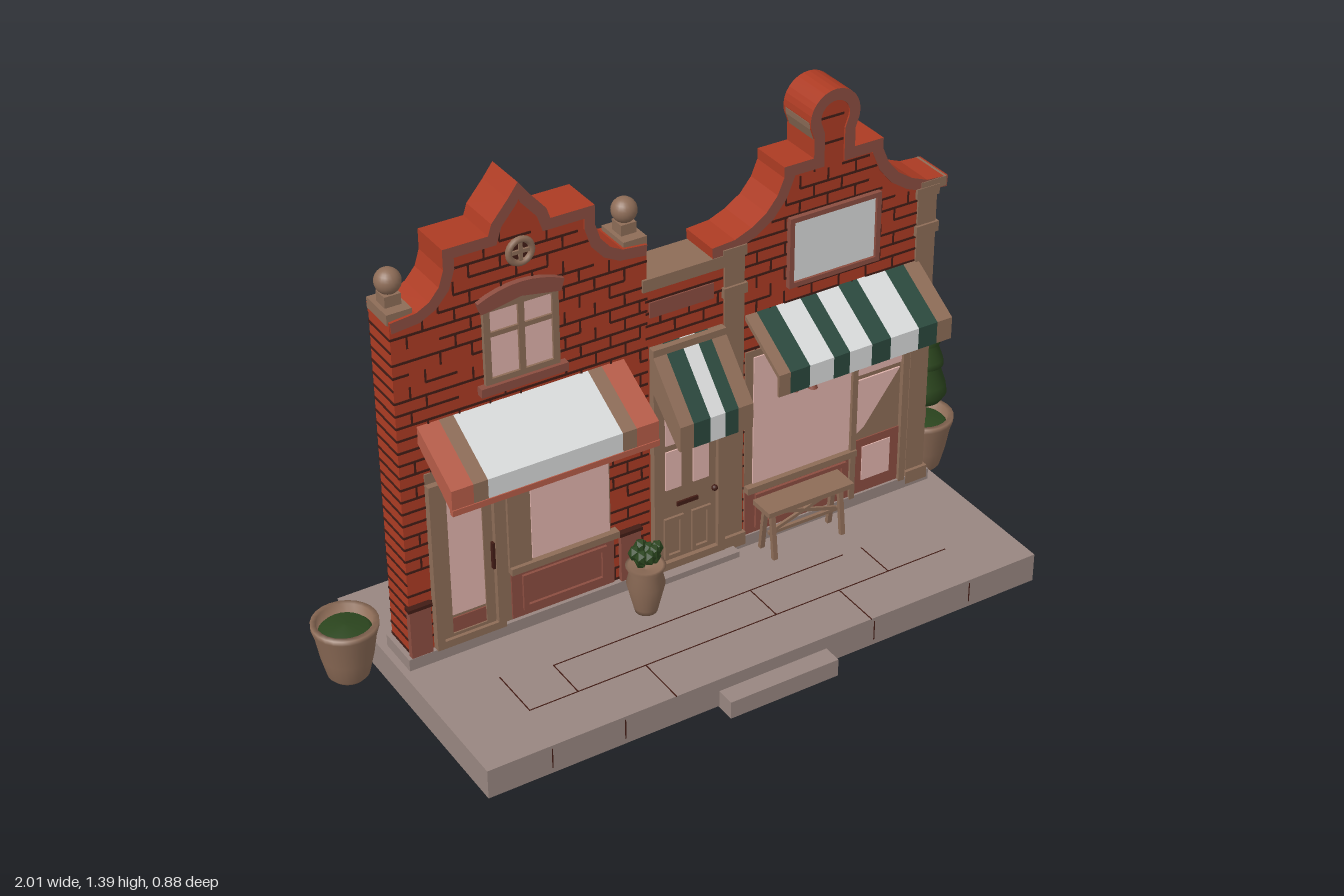
import * as THREE from 'three';
import { mergeGeometries } from 'three/addons/utils/BufferGeometryUtils.js';

const paint = (name, color) => Object.assign(new THREE.MeshStandardMaterial({ color }), { name });
const brick = paint('brick red', 0xac3b23);
const mortar = paint('dark joint', 0x421c15);
const stone = paint('brown stone', 0x8d6c57);
const paving = paint('grey paving', 0x988680);
const glass = paint('pink glass', 0xe0b3ac);
const redWood = paint('dull red wood', 0x8b4d40);
const salmon = paint('salmon cloth', 0xb65c48);
const white = paint('off white', 0xd8dada);
const green = paint('green cloth', 0x2a483d);
const leaf = paint('foliage', 0x2b451e);

const FRONT = -0.077, BACK = -0.187, GROUND = 0.09;

export function createModel() {
  const root = new THREE.Group();
  root.name = 'shopRow';
  let seed = 7;
  const rnd = () => (seed = (seed * 16807) % 2147483647) / 2147483647;

  const add = (name, geo, mat, x = 0, y = 0, z = 0) => {
    const m = new THREE.Mesh(geo, mat);
    m.name = name;
    m.position.set(x, y, z);
    root.add(m);
    return m;
  };
  const boxGeo = (x0, x1, y0, y1, z0, z1) => new THREE.BoxGeometry(x1 - x0, y1 - y0, z1 - z0)
    .translate((x0 + x1) / 2, (y0 + y1) / 2, (z0 + z1) / 2);
  const box = (name, mat, x0, x1, y0, y1, z0, z1) => add(name, boxGeo(x0, x1, y0, y1, z0, z1), mat);
  // front fitting that stands d proud of the wall
  const plate = (name, mat, x0, x1, y0, y1, d) => box(name, mat, x0, x1, y0, y1, FRONT - 0.004, FRONT + d);
  const frame = (name, mat, x0, x1, y0, y1, w, d) => {
    plate(name, mat, x0, x0 + w, y0, y1, d);
    plate(name, mat, x1 - w, x1, y0, y1, d);
    plate(name, mat, x0 + w, x1 - w, y0, y0 + w, d);
    plate(name, mat, x0 + w, x1 - w, y1 - w, y1, d);
  };
  const shapeOf = pts => new THREE.Shape(pts.map(p => new THREE.Vector2(p[0], p[1])));
  const extrude = (pts, depth) => new THREE.ExtrudeGeometry(shapeOf(pts), { depth, bevelEnabled: false });

  // staggered brick joints over a face at depth z, below the outline top(x)
  const joints = (name, x0, x1, y0, top, z) => {
    const geos = [], course = 0.036, len = 0.086;
    for (let row = 0, y = y0; y < 1.4; row++, y += course) {
      for (let x = x0 - (row % 2) * len / 2; x < x1; x += len) {
        const a = Math.max(x, x0), b = Math.min(x + len, x1);
        if (b - a < 0.01 || y + 0.03 > Math.min(top(a), top(b))) continue;
        if (rnd() > 0.14) geos.push(boxGeo(a, b, y - 0.0032, y + 0.0032, z - 0.002, z + 0.002));
        if (a > x0 && rnd() > 0.14 && y + course + 0.02 < top(a))
          geos.push(boxGeo(a - 0.0025, a + 0.0025, y, y + course, z - 0.002, z + 0.002));
      }
    }
    add(name, mergeGeometries(geos), mortar);
  };

  // mirrored gable: half outline from the peak outwards
  const gable = (name, cx, half, wallHalf, t, sideMat) => {
    const line = [...half.slice(1).reverse().map(([x, y]) => [cx - x, y]), ...half.map(([x, y]) => [cx + x, y])];
    const wall = line.map(([x, y]) => [Math.max(cx - wallHalf, Math.min(cx + wallHalf, x)), y - 0.004]);
    wall.push([cx + wallHalf, GROUND], [cx - wallHalf, GROUND]);
    add(name + 'Wall', extrude(wall, FRONT - BACK), [brick, sideMat], 0, 0, BACK);
    const dir = (a, b) => new THREE.Vector2(b[0] - a[0], b[1] - a[1]).normalize();
    const inner = line.map((p, i) => {
      const d0 = dir(line[Math.max(i - 1, 0)], line[Math.max(i, 1)]);
      const d1 = dir(line[Math.min(i, line.length - 2)], line[Math.min(i + 1, line.length - 1)]);
      const n = new THREE.Vector2(d0.y + d1.y, -d0.x - d1.x).normalize();
      const k = t / Math.max(0.65, n.x * d0.y - n.y * d0.x);
      return [p[0] + n.x * k, p[1] + n.y * k];
    });
    add(name + 'Coping', extrude([...line, ...inner.reverse()], 0.124), [redWood, brick], 0, 0, -0.196);
    return x => {
      const d = Math.abs(x - cx);
      let top = 9;
      for (let i = 1; i < half.length; i++) {
        const [ax, ay] = half[i - 1], [bx, by] = half[i];
        if (bx > ax && d >= ax && d <= bx) top = Math.min(top, ay + (by - ay) * (d - ax) / (bx - ax));
      }
      return top;
    };
  };

  // pavement, step and paving joints
  box('pavement', paving, -0.84, 0.84, 0.004, GROUND, -0.44, 0.385);
  box('frontStep', paving, -0.17, 0.16, 0, 0.052, 0.38, 0.44);
  box('plinth', paving, -0.82, 0.81, GROUND, 0.125, -0.19, -0.062);
  box('doorStep', paving, -0.15, 0.16, GROUND, 0.108, -0.07, -0.03);
  for (const [x0, x1, z0, z1] of [[-0.64, 0.65, 0.235, 0.238], [-0.5, 0.4, 0.11, 0.113], [-0.6, -0.1, -0.31, -0.307],
    [0.1, 0.7, -0.31, -0.307], [-0.5, -0.497, 0.11, 0.235], [0.1, 0.103, 0.11, 0.235], [0.46, 0.463, 0.11, 0.235],
    [-0.64, -0.637, 0.08, 0.235], [0.3, 0.303, 0.235, 0.385], [-0.3, -0.297, 0.235, 0.385]])
    box('pavingJoint', mortar, x0, x1, GROUND - 0.002, GROUND + 0.001, z0, z1);
  for (const x of [-0.66, -0.45, 0.31, 0.62]) box('kerbJoint', mortar, x, x + 0.003, 0.02, 0.08, 0.38, 0.386);

  // left house
  const leftTop = gable('leftHouse', -0.45, [[0, 1.392], [0.028, 1.355], [0.075, 1.3], [0.085, 1.27], [0.208, 1.27],
    [0.208, 1.215], [0.222, 1.172], [0.25, 1.14], [0.285, 1.122], [0.355, 1.115]], 0.355, 0.03, brick);
  joints('leftFrontJoints', -0.805, -0.095, 0.13, leftTop, FRONT);
  joints('leftBackJoints', -0.805, -0.095, 0.13, leftTop, BACK);
  for (let y = 0.13; y < 1.08; y += 0.036)
    box('leftSideJoint', mortar, -0.807, -0.803, y - 0.0032, y + 0.0032, BACK, FRONT);
  for (const x of [-0.775, -0.125]) {
    box('finialBase', stone, x - 0.034, x + 0.034, 1.105, 1.135, -0.185, -0.08);
    box('finialPlinth', stone, x - 0.022, x + 0.022, 1.135, 1.165, -0.155, -0.11);
    add('finialBall', new THREE.SphereGeometry(0.034, 20, 14), stone, x, 1.195, -0.132);
  }
  add('roundVentRim', new THREE.TorusGeometry(0.032, 0.009, 8, 24), stone, -0.45, 1.205, FRONT + 0.004);
  add('roundVent', new THREE.CircleGeometry(0.033, 24), mortar, -0.45, 1.205, FRONT + 0.003);
  plate('ventBar', stone, -0.455, -0.445, 1.175, 1.235, 0.009);
  plate('ventBar', stone, -0.48, -0.42, 1.2, 1.21, 0.009);

  // upper window with arched lintel
  plate('upperPane', glass, -0.55, -0.365, 0.86, 1.085, 0.005);
  frame('upperFrame', stone, -0.562, -0.353, 0.86, 1.085, 0.018, 0.012);
  plate('upperMullion', stone, -0.466, -0.449, 0.87, 1.075, 0.012);
  plate('upperTransom', stone, -0.55, -0.365, 0.995, 1.008, 0.011);
  plate('upperSill', redWood, -0.58, -0.335, 0.838, 0.862, 0.022);
  const arch = [];
  for (let i = 0; i <= 8; i++) arch.push([-0.12 + 0.03 * i, 1.128 - 0.028 * ((i - 4) / 4) ** 2]);
  add('archLintel', extrude([...arch, [0.11, 1.068], [0, 1.088], [-0.11, 1.068]], 0.016), redWood, -0.457, 0, FRONT);

  // left shopfront
  plate('leftShopBoard', stone, -0.74, -0.215, 0.125, 0.66, 0.004);
  frame('leftDoorFrame', stone, -0.74, -0.54, 0.125, 0.63, 0.022, 0.022);
  frame('leftDoor', stone, -0.715, -0.565, 0.13, 0.605, 0.026, 0.012);
  plate('leftDoorGlass', glass, -0.69, -0.575, 0.21, 0.575, 0.008);
  plate('leftDoorKick', redWood, -0.69, -0.585, 0.14, 0.2, 0.008);
  plate('leftDoorHandle', mortar, -0.572, -0.565, 0.32, 0.4, 0.024);
  plate('leftShopPost', stone, -0.52, -0.455, 0.28, 0.66, 0.014);
  plate('leftShopGlass', glass, -0.45, -0.22, 0.295, 0.66, 0.008);
  plate('leftShopSill', stone, -0.52, -0.2, 0.278, 0.298, 0.025);
  plate('leftStallBoard', redWood, -0.515, -0.21, 0.13, 0.278, 0.01);
  frame('leftStallPanel', redWood, -0.485, -0.235, 0.15, 0.26, 0.014, 0.018);
  for (const x of [-0.78, -0.16]) {
    plate('pierBase', redWood, x - 0.03, x + 0.03, 0.12, 0.27, 0.014);
    plate('pierBaseCap', mortar, x - 0.034, x + 0.034, 0.27, 0.28, 0.018);
  }

  // middle house
  box('middleWall', brick, -0.1, 0.13, GROUND, 0.985, BACK + 0.005, FRONT);
  joints('middleFrontJoints', -0.1, 0.13, 0.84, () => 0.99, FRONT);
  box('middleBackWall', redWood, -0.1, 0.13, GROUND, 0.97, BACK, BACK + 0.006);
  joints('middleBackJoints', -0.1, 0.13, 0.13, () => 0.99, BACK);
  box('middleCap', stone, -0.11, 0.135, 0.98, 1.015, -0.195, -0.07);
  plate('middlePanel', redWood, -0.09, 0.1, 0.9, 0.945, 0.006);
  plate('middleDoorBoard', stone, -0.09, 0.13, 0.11, 0.81, 0.006);
  frame('middleDoorFrame', stone, -0.09, 0.13, 0.11, 0.81, 0.022, 0.02);
  for (const x of [-0.025, 0.06]) {
    plate('doorPane', glass, x - 0.024, x + 0.024, 0.5, 0.6, 0.01);
    plate('doorPane', glass, x - 0.024, x + 0.024, 0.36, 0.48, 0.01);
    frame('doorPanel', stone, x - 0.03, x + 0.03, 0.14, 0.27, 0.012, 0.014);
  }
  plate('letterSlot', mortar, -0.015, 0.05, 0.3, 0.312, 0.012);
  add('doorKnob', new THREE.SphereGeometry(0.009, 10, 8), mortar, 0.1, 0.32, FRONT + 0.014);

  // right house
  const peak = [];
  for (let i = 0; i <= 8; i++) peak.push([0.076 * Math.sin(i * Math.PI / 14), 1.318 + 0.076 * Math.cos(i * Math.PI / 14)]);
  const rightTop = gable('rightHouse', 0.463, [...peak, [0.063, 1.27], [0.063, 1.215], [0.153, 1.215], [0.153, 1.185],
    [0.172, 1.14], [0.205, 1.1], [0.25, 1.07], [0.3, 1.05], [0.368, 1.045]], 0.333, 0.032, stone);
  joints('rightFrontJoints', 0.19, 0.745, 0.13, rightTop, FRONT);
  const backPanel = [[-0.333, 0.1], [0.333, 0.1], [0.333, 1.02], [0.25, 1.04], [0.17, 1.1], [0.13, 1.18], [0.045, 1.19],
    [0.045, 1.33], [0, 1.36], [-0.045, 1.33], [-0.045, 1.19], [-0.13, 1.18], [-0.17, 1.1], [-0.25, 1.04], [-0.333, 1.02]];
  add('rightBackPanel', extrude(backPanel, 0.006), stone, 0.463, 0, BACK - 0.003);
  for (const x of [0.163, 0.767]) {
    plate('pilaster', stone, x - 0.03, x + 0.03, 0.1, 1.02, 0.006);
    plate('pilasterBase', stone, x - 0.036, x + 0.036, 0.1, 0.14, 0.016);
    box('pilasterBand', stone, x - 0.036, x + 0.036, 0.89, 0.92, -0.192, -0.064);
    box('pilasterCap', stone, x - 0.036, x + 0.036, 1.0, 1.03, -0.192, -0.068);
  }
  box('copingReturn', stone, 0.745, 0.825, 1.018, 1.046, -0.197, -0.07);
  plate('signBoard', white, 0.335, 0.6, 0.87, 1.055, 0.008);
  frame('signFrame', redWood, 0.325, 0.61, 0.86, 1.065, 0.014, 0.016);

  // right shopfront
  plate('rightShopBoard', stone, 0.2, 0.745, 0.12, 0.7, 0.004);
  plate('rightShopGlass', glass, 0.225, 0.545, 0.28, 0.68, 0.008);
  plate('rightShopSill', stone, 0.2, 0.555, 0.262, 0.282, 0.024);
  plate('rightStallBoard', redWood, 0.2, 0.55, 0.125, 0.262, 0.01);
  frame('rightStallPanel', redWood, 0.23, 0.525, 0.14, 0.25, 0.014, 0.018);
  plate('rightDoorPost', stone, 0.538, 0.555, 0.12, 0.7, 0.018);
  plate('rightDoorPost', stone, 0.705, 0.725, 0.12, 0.7, 0.018);
  plate('rightDoorFanlight', glass, 0.555, 0.705, 0.51, 0.68, 0.008);
  add('rightDoorGlass', extrude([[0.555, 0.495], [0.555, 0.32], [0.585, 0.34], [0.7, 0.495]], 0.009), glass, 0, 0, FRONT);
  plate('rightDoorKick', redWood, 0.555, 0.705, 0.125, 0.3, 0.008);
  plate('rightDoorLowerPane', glass, 0.582, 0.675, 0.165, 0.275, 0.011);

  // rear blocked openings of the left house
  box('rearDoorPatch', stone, -0.76, -0.53, 0.1, 0.6, BACK - 0.005, BACK);
  box('rearDoorPatchTop', stone, -0.74, -0.47, 0.6, 0.66, BACK - 0.005, BACK);
  box('rearPanel', stone, -0.46, -0.15, 0.12, 0.27, BACK - 0.005, BACK);
  frame('rearPanelRim', redWood, -0.43, -0.18, 0.14, 0.25, 0.01, BACK - FRONT - 0.008);
  for (const [x, y, w] of [[-0.6, 0.95, 0.12], [-0.35, 1.1, 0.12], [-0.3, 0.88, 0.1], [-0.7, 0.84, 0.1], [-0.45, 0.74, 0.12]])
    box('rearWornPatch', stone, x - w / 2, x + w / 2, y, y + 0.033, BACK - 0.004, BACK);

  // awnings: a sloped profile (z, y) sliced into coloured stripes
  const awning = (name, x, profile, stripes) => {
    for (const [x1, mat] of stripes) {
      add(name, extrude(profile.map(([z, y]) => [-z, y]), x1 - x).rotateY(Math.PI / 2), mat, x);
      x = x1;
    }
  };
  awning('leftAwning', -0.75, [[-0.08, 0.805], [0.092, 0.71], [0.092, 0.65], [0.08, 0.65], [-0.08, 0.755]],
    [[-0.69, salmon], [-0.65, stone], [-0.27, white], [-0.23, stone], [-0.165, salmon]]);
  box('leftAwningHem', salmon, -0.75, -0.165, 0.638, 0.655, 0.08, 0.095);
  awning('doorAwning', -0.09, [[-0.08, 0.815], [0.072, 0.65], [0.072, 0.577], [0.06, 0.577], [-0.08, 0.7]],
    [[-0.05, stone], [0, green], [0.045, white], [0.085, green], [0.13, stone]]);
  // the wide awning is a thin cloth with open ends
  awning('rightAwning', 0.2, [[-0.08, 0.815], [0.085, 0.715], [0.085, 0.65], [0.077, 0.65], [0.077, 0.705], [-0.08, 0.8]],
    [[0.235, stone], [0.295, green], [0.37, white], [0.42, green], [0.49, white], [0.55, green], [0.64, white], [0.7, green], [0.748, stone]]);

  // hanging bells
  for (const [x, y] of [[0.34, 0.57], [0.4, 0.558], [0.46, 0.58], [-0.405, 0.58], [-0.255, 0.58]]) {
    add('bell', new THREE.ConeGeometry(0.014, 0.035, 8), redWood, x, y, -0.05);
    add('bellCord', new THREE.CylinderGeometry(0.003, 0.003, 0.09, 5), mortar, x, y + 0.055, -0.05);
  }

  // bench
  box('benchSeat', stone, 0.21, 0.485, 0.235, 0.25, -0.045, 0.035);
  box('benchRail', stone, 0.235, 0.46, 0.15, 0.16, -0.01, 0);
  for (const x of [0.235, 0.455]) for (const s of [-1, 1]) {
    add('benchLeg', new THREE.BoxGeometry(0.014, 0.15, 0.012), stone, x, 0.163, -0.005 + s * 0.024).rotation.x = -s * 0.12;
  }
  for (const s of [-1, 1])
    add('benchBrace', new THREE.BoxGeometry(0.22, 0.01, 0.008), stone, 0.345, 0.195, 0).rotation.z = s * 0.3;

  // pots and plants
  const lathe = (name, pts, mat, x, y, z) =>
    add(name, new THREE.LatheGeometry(pts.map(p => new THREE.Vector2(p[0], p[1])), 24), mat, x, y, z);
  const potProfile = [[0, 0], [0.045, 0], [0.056, 0.012], [0.07, 0.07], [0.08, 0.13], [0.089, 0.16], [0.089, 0.174],
    [0.074, 0.174], [0.07, 0.14], [0, 0.14]];
  for (const x of [-0.915, 0.912]) {
    lathe('cornerPot', potProfile, stone, x, 0.006, -0.232);
    lathe('potGreenery', [[0.072, 0.145], [0.06, 0.157], [0, 0.163]], leaf, x, 0.006, -0.232);
  }
  add('topiaryTrunk', new THREE.CylinderGeometry(0.009, 0.011, 0.1, 8), stone, 0.912, 0.2, -0.232);
  lathe('topiary', [[0, 0.235], [0.05, 0.235], [0.065, 0.26], [0.06, 0.29], [0.042, 0.345], [0.052, 0.352], [0.05, 0.37],
    [0.034, 0.415], [0.04, 0.422], [0.036, 0.445], [0.018, 0.49], [0, 0.51]], leaf, 0.912, 0, -0.232);
  lathe('smallPot', [[0, 0], [0.03, 0], [0.034, 0.015], [0.052, 0.09], [0.044, 0.125], [0.054, 0.145], [0.045, 0.145], [0, 0.13]],
    stone, -0.175, GROUND, 0.035);
  for (let i = 0; i < 12; i++) {
    const a = i * 2.4, r = 0.012 + 0.026 * rnd();
    add('smallPlant', new THREE.IcosahedronGeometry(0.018, 0).scale(1, 1.3, 1), leaf,
      -0.175 + r * Math.cos(a), 0.245 + 0.045 * rnd(), 0.035 + r * Math.sin(a));
  }
  return root;
}
